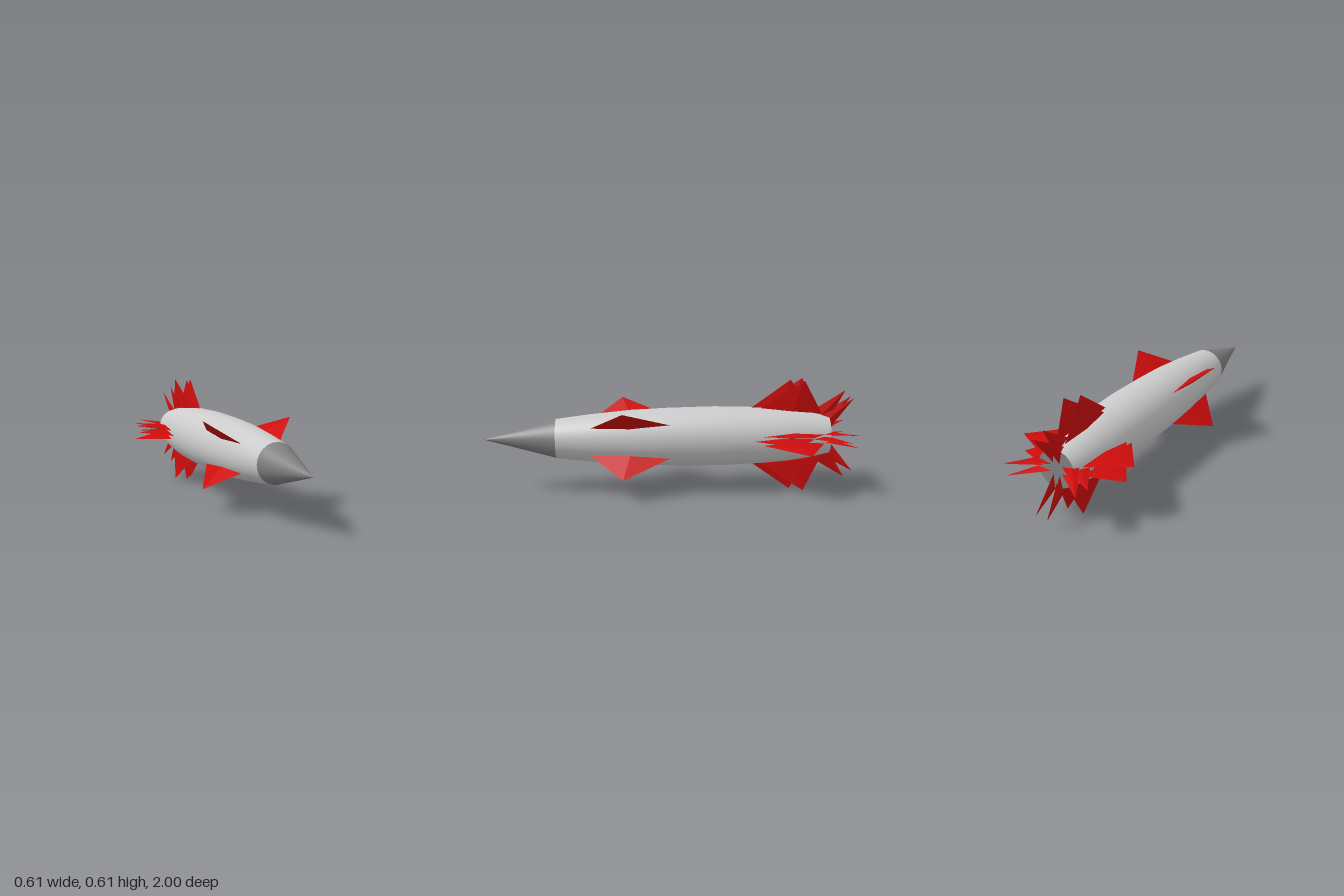
import * as THREE from 'three';

const grey = new THREE.MeshStandardMaterial({ color: 0xcccccc });
const darkGrey = new THREE.MeshStandardMaterial({ color: 0x808080 });
const red = new THREE.MeshStandardMaterial({ color: 0xcc0c0c, flatShading: true });

// Turned part whose profile is given as [z, radius] from back to front
function turned(name, profile, material) {
  const curve = profile.map(([z, r]) => new THREE.Vector2(r, z));
  const mesh = new THREE.Mesh(new THREE.LatheGeometry(curve, 32), material);
  mesh.geometry.rotateX(Math.PI / 2);
  mesh.name = name;
  return mesh;
}

// Spike on a thin diamond root: front, back and tip are [radius, z];
// side is the sideways offset at the root and at the tip
function spikeFin(name, front, back, tip, thickness, [rootSide, tipSide]) {
  const midRadius = (front[0] + back[0]) / 2;
  const midZ = (front[1] + back[1]) / 2;
  const f = [front[0], rootSide, front[1]];
  const b = [back[0], rootSide, back[1]];
  const l = [midRadius, rootSide + thickness / 2, midZ];
  const r = [midRadius, rootSide - thickness / 2, midZ];
  const t = [tip[0], tipSide, tip[1]];
  const faces = [f, r, t, r, b, t, b, l, t, l, f, t, f, l, b, f, b, r];
  const geometry = new THREE.BufferGeometry();
  geometry.setAttribute('position', new THREE.Float32BufferAttribute(faces.flat(), 3));
  geometry.computeVertexNormals();
  const mesh = new THREE.Mesh(geometry, red);
  mesh.name = name;
  return mesh;
}

export function createModel() {
  const model = new THREE.Group();
  model.name = 'rocket';
  const rocket = new THREE.Group();
  rocket.name = 'rocketAssembly';
  rocket.position.y = 0.299;
  rocket.rotation.x = 0.008;
  model.add(rocket);

  // Hull, nose and tail plate
  rocket.add(turned('hull', [
    [-0.87, 0.103], [-0.78, 0.122], [-0.66, 0.14], [-0.5, 0.153], [-0.25, 0.161],
    [0, 0.157], [0.2, 0.149], [0.42, 0.129], [0.61, 0.106],
  ], grey));
  rocket.add(turned('noseCone', [[0.61, 0.106], [1, 0]], darkGrey));
  rocket.add(turned('tailPlate', [[-0.87, 0], [-0.87, 0.103]], darkGrey));

  // Four diagonal front fins
  const slant = 0.62;
  for (const angle of [slant, Math.PI - slant, Math.PI + slant, -slant]) {
    const fin = spikeFin('frontFin', [0.13, 0.42], [0.157, 0], [0.303, 0.25], 0.03, [0, 0]);
    fin.rotation.z = angle;
    rocket.add(fin);
  }

  // Four clusters at the rear, each with three large fins and three small swept ones
  for (let i = 0; i < 4; i++) {
    const cluster = new THREE.Group();
    cluster.name = 'rearFinCluster';
    cluster.rotation.z = i * Math.PI / 2;
    for (const s of [-1, 0, 1]) {
      const shift = s === 0 ? 0 : -0.07;
      cluster.add(spikeFin('rearFin', [0.154, -0.45 + shift * 0.7], [0.12, -0.78 + shift * 0.7],
        [0.304, -0.66 + shift], 0.027, [s * 0.024, s * 0.048]));
      const inward = s === 0 ? 0 : -0.04;
      cluster.add(spikeFin('tailFin', [0.125 + inward, -0.77 + inward / 2], [0.065 + inward, -0.865],
        [0.242 + inward, -0.96 + inward], 0.024, [s * 0.018, s * 0.034]));
    }
    rocket.add(cluster);
  }
  return model;
}
